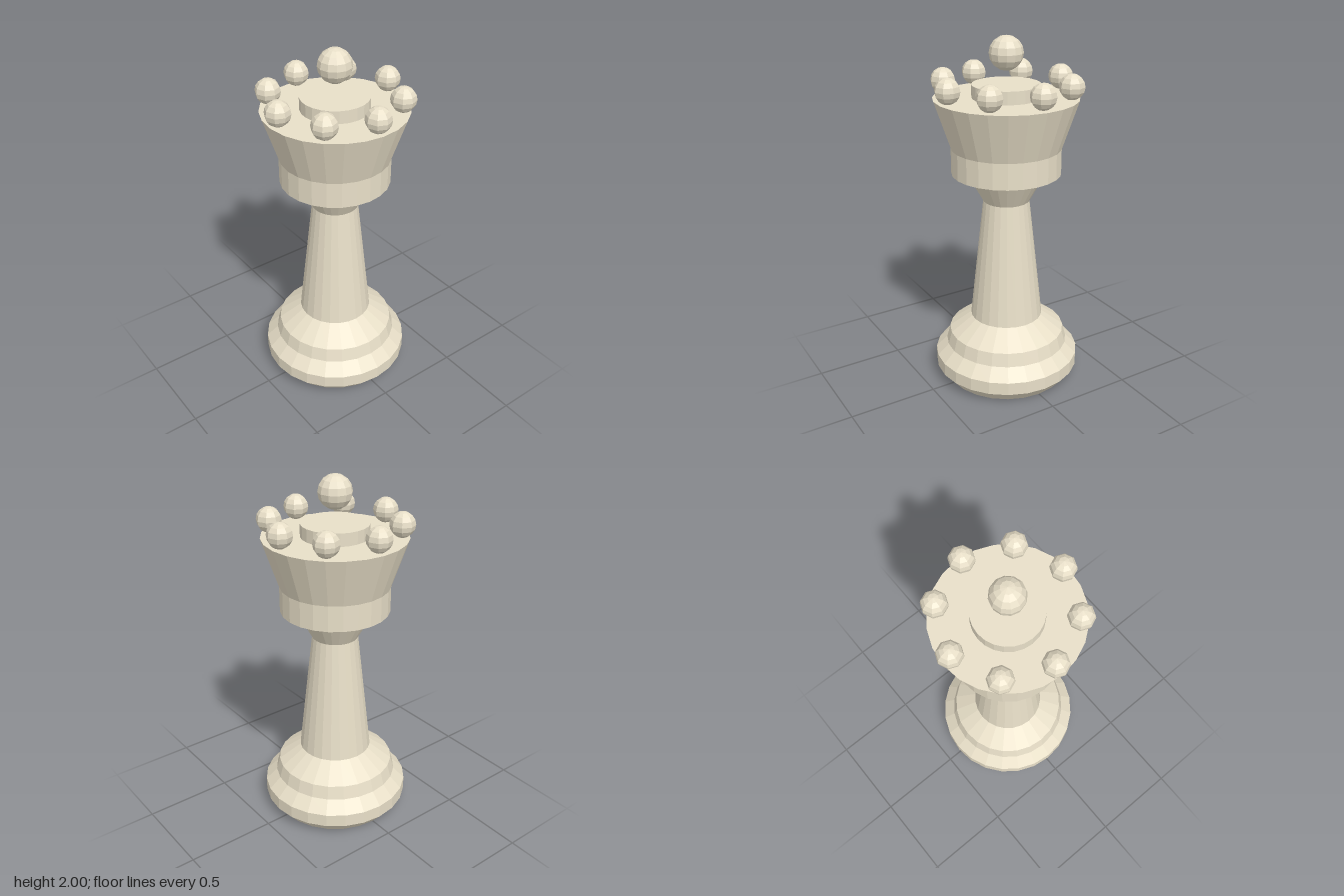
import * as THREE from 'three';

const SIDES = 24;

export function createModel() {
  const group = new THREE.Group();
  const material = new THREE.MeshStandardMaterial({ color: 0xe8dfc8, flatShading: true });

  function add(name, geometry, x = 0, y = 0, z = 0) {
    const mesh = new THREE.Mesh(geometry, material);
    mesh.name = name;
    mesh.position.set(x, y, z);
    group.add(mesh);
  }

  // Turned part from [radius, height] pairs, listed bottom to top
  function turned(name, profile) {
    add(name, new THREE.LatheGeometry(profile.map(([r, y]) => new THREE.Vector2(r, y)), SIDES));
  }

  // Stepped foot
  turned('base', [
    [0, 0], [0.36, 0], [0.42, 0.07], [0.42, 0.145],
    [0.355, 0.21], [0.335, 0.285], [0.208, 0.378],
  ]);

  // Tapering shaft that flares out under the collar
  turned('stem', [[0.208, 0.378], [0.13, 1.087], [0.22, 1.25]]);

  // Straight collar, flared crown and flat top
  turned('crown', [[0, 1.25], [0.305, 1.25], [0.305, 1.395], [0.397, 1.672], [0, 1.672]]);

  // Raised disc on the crown
  turned('crownDisc', [[0.187, 1.672], [0.187, 1.743], [0, 1.743]]);

  // Finial ball above the disc
  add('finial', new THREE.SphereGeometry(0.093, 12, 8), 0, 1.907, 0);

  // Ring of eight beads on the rim
  const bead = new THREE.SphereGeometry(0.07, 8, 8);
  for (let i = 0; i < 8; i++) {
    const a = (i / 8) * Math.PI * 2;
    add('crownBead' + (i + 1), bead, 0.353 * Math.cos(a), 1.745, 0.353 * Math.sin(a));
  }

  return group;
}
